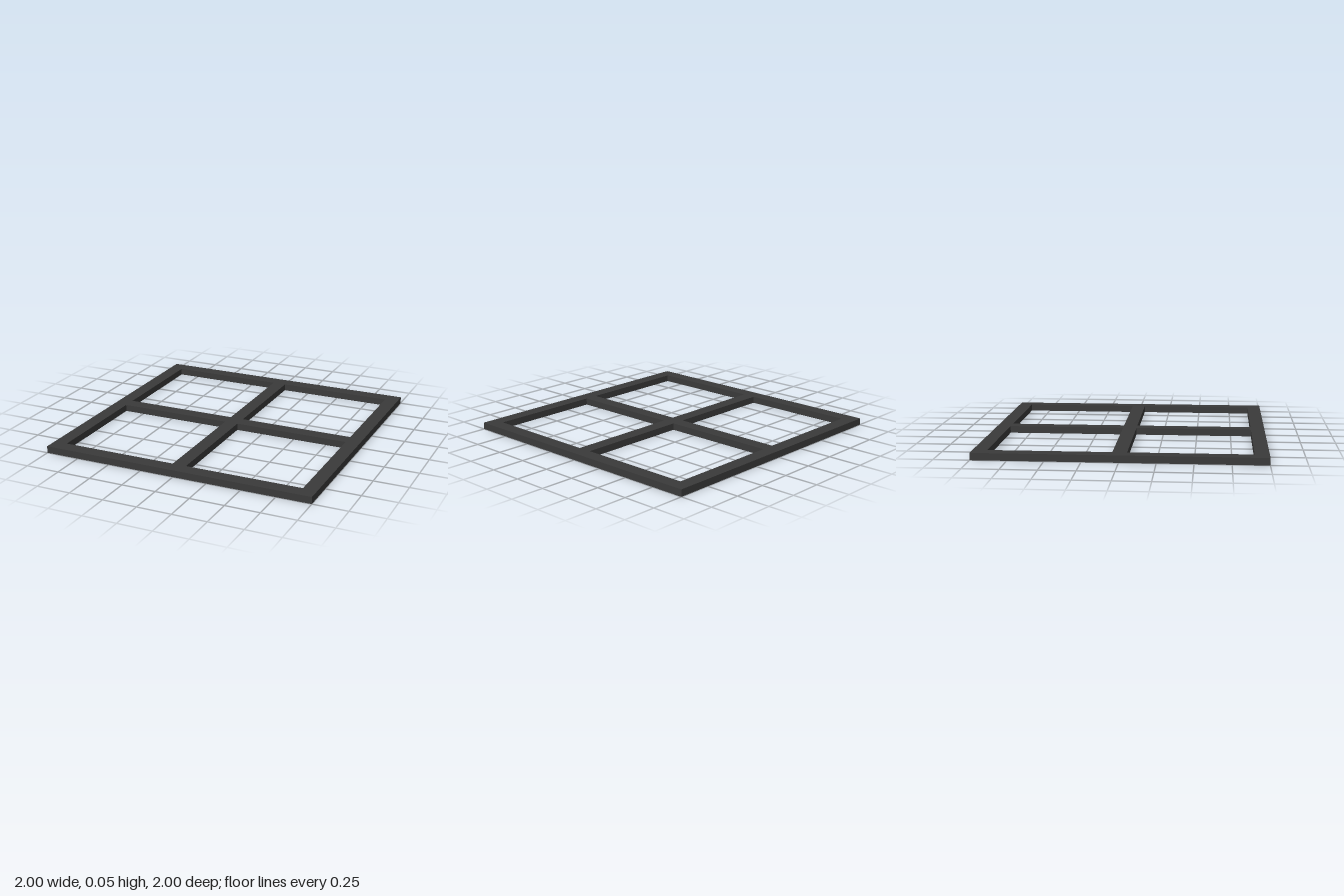
import * as THREE from 'three';

export function createModel() {
  const model = new THREE.Group();
  model.name = 'windowFrame';
  const charcoal = new THREE.MeshStandardMaterial({ color: 0x3a3a3a });
  charcoal.name = 'charcoal';

  const half = 1, bar = 0.1, height = 0.05;

  // Square outline, centred on the origin
  const square = (path, cx, cy, r) => {
    path.moveTo(cx - r, cy - r);
    path.lineTo(cx + r, cy - r);
    path.lineTo(cx + r, cy + r);
    path.lineTo(cx - r, cy + r);
    path.closePath();
    return path;
  };

  // Outer border and crossbars in one piece, with four openings
  const outline = square(new THREE.Shape(), 0, 0, half);
  const inner = (half - bar * 1.5) / 2;
  const centre = bar / 2 + inner;
  for (const sx of [-1, 1]) {
    for (const sz of [-1, 1]) {
      outline.holes.push(square(new THREE.Path(), sx * centre, sz * centre, inner));
    }
  }

  // Lay the frame flat on the ground
  const geometry = new THREE.ExtrudeGeometry(outline, { depth: height, bevelEnabled: false });
  geometry.rotateX(-Math.PI / 2);
  const frame = new THREE.Mesh(geometry, charcoal);
  frame.name = 'crossbarFrame';
  model.add(frame);

  return model;
}
